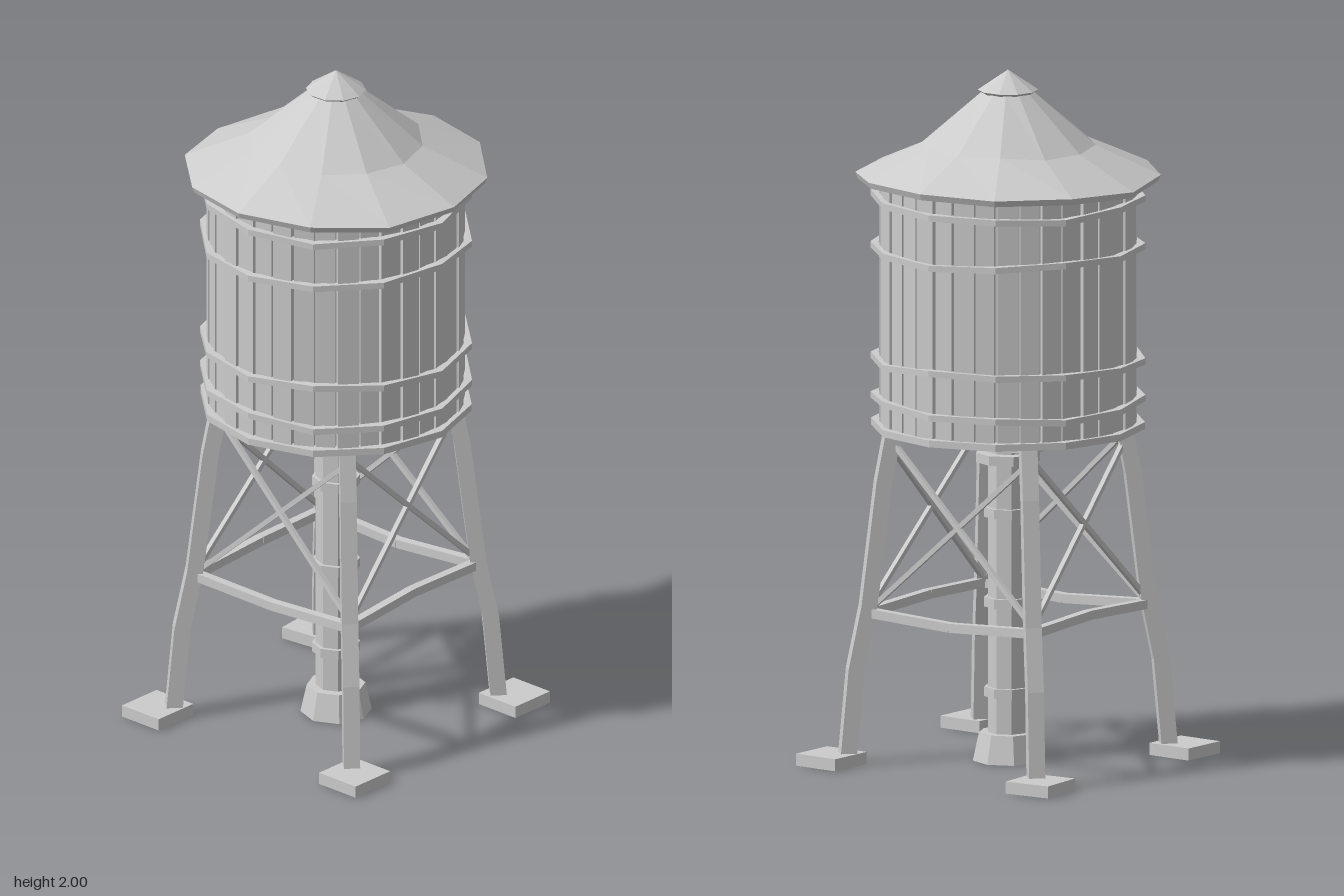
import * as THREE from 'three';

export function createModel() {
  const model = new THREE.Group();
  const grey = new THREE.MeshStandardMaterial({ color: 0xcccccc, flatShading: true });

  function add(name, geometry, parent = model) {
    const mesh = new THREE.Mesh(geometry, grey);
    mesh.name = name;
    parent.add(mesh);
    return mesh;
  }
  function group(name) {
    const g = new THREE.Group();
    g.name = name;
    model.add(g);
    return g;
  }
  const V = (x, y, z) => new THREE.Vector3(x, y, z);
  const profile = (pts) => pts.map(([r, y]) => new THREE.Vector2(r, y));

  // Square bar between two points
  function bar(name, a, b, size, parent) {
    const m = add(name, new THREE.BoxGeometry(size, size, a.distanceTo(b)), parent);
    m.position.copy(a).lerp(b, 0.5);
    m.lookAt(b);
    return m;
  }
  // Uneven, hand-made wobble that closes around the circle
  function wobble(geometry, amount, phase) {
    const p = geometry.attributes.position;
    for (let i = 0; i < p.count; i++) {
      const r = Math.hypot(p.getX(i), p.getZ(i));
      if (r < 0.15) continue;
      const a = Math.round((Math.atan2(p.getZ(i), p.getX(i)) / Math.PI) * 6) * Math.PI / 6;
      p.setY(i, p.getY(i) + amount * (Math.sin(2 * a + phase) + 0.6 * Math.sin(5 * a + phase * 2 + r * 9)) / 1.6);
    }
    return geometry;
  }
  function cylinder(name, r0, r1, y0, y1, sides, parent) {
    const m = add(name, new THREE.CylinderGeometry(r1, r0, y1 - y0, sides), parent);
    m.position.y = (y0 + y1) / 2;
    return m;
  }

  // Roof with a thin eave, and its cap
  add('roof', wobble(new THREE.LatheGeometry(profile([
    [0, 1.69], [0.36, 1.685], [0.43, 1.682], [0.437, 1.7], [0.25, 1.785], [0.075, 1.935], [0, 1.95],
  ]), 12), 0.009, 1.2));
  add('roofCap', new THREE.LatheGeometry(profile([
    [0, 1.93], [0.07, 1.93], [0.086, 1.942], [0.07, 1.953], [0, 2],
  ]), 10));

  // Tank: core, separate staves, hoops and floor
  const tank = group('tank');
  cylinder('tankCore', 0.352, 0.352, 0.975, 1.7, 36, tank);
  const staves = 36;
  for (let i = 0; i < staves; i++) {
    const a = ((i + 0.5) / staves) * Math.PI * 2;
    const width = 0.057 + 0.004 * Math.sin(i * 2.7);
    const r = 0.353 + 0.003 * Math.sin(i * 4.1);
    const stave = add('stave', new THREE.BoxGeometry(width, 0.72, 0.026), tank);
    stave.position.set(Math.sin(a) * r, 1.338, Math.cos(a) * r);
    stave.rotation.y = a + 0.04 * Math.sin(i * 3.3);
  }
  [1.05, 1.17, 1.49, 1.63].forEach((y, i) => {
    const hoop = new THREE.LatheGeometry(profile([
      [0.37, y - 0.009], [0.393, y - 0.009], [0.393, y + 0.009], [0.37, y + 0.009], [0.37, y - 0.009],
    ]), 12);
    add('hoop', wobble(hoop, 0.01, i * 1.9 + 0.5), tank);
  });
  cylinder('tankFloor', 0.392, 0.392, 0.965, 0.985, 12, tank);

  // Four bent legs on slightly turned footings
  const legPath = [[0.328, 0.03], [0.312, 0.28], [0.286, 0.46], [0.255, 0.82], [0.235, 0.97]];
  const corners = [[1, 1], [1, -1], [-1, -1], [-1, 1]];
  const legs = group('legs');
  corners.forEach(([sx, sz], i) => {
    const geo = new THREE.CylinderGeometry(0.033, 0.033, 1, 4, legPath.length - 1);
    const p = geo.attributes.position;
    for (let k = 0; k < p.count; k++) {
      const [d, y] = legPath[Math.round((p.getY(k) + 0.5) * (legPath.length - 1))];
      p.setXYZ(k, p.getX(k) + sx * d, y, p.getZ(k) + sz * d);
    }
    add('leg', geo, legs);
    const foot = add('footing', new THREE.BoxGeometry(0.145, 0.035, 0.142), legs);
    foot.position.set(sx * 0.357, 0.0175, sz * 0.364);
    foot.rotation.y = 0.055 * (i % 2 ? 1 : -1) * (i === 3 ? -1 : 1);
  });

  // Girders, sagging ties and crossed rods between neighbouring legs
  const bracing = group('bracing');
  corners.forEach(([sx, sz], i) => {
    const [tx, tz] = corners[(i + 1) % 4];
    const at = (x, z, d, y) => V(x * d, y, z * d);
    bar('girder', at(sx, sz, 0.235, 0.958), at(tx, tz, 0.235, 0.958), 0.022, bracing);
    const mid = V((sx + tx) * 0.14, i % 2 ? 0.45 : 0.425, (sz + tz) * 0.14);
    bar('tie', at(sx, sz, 0.286, 0.44), mid, 0.026, bracing);
    bar('tie', mid, at(tx, tz, 0.286, 0.44), 0.026, bracing);
    bar('crossRod', at(sx, sz, 0.24, 0.94), at(tx, tz, 0.28, 0.46), 0.014, bracing);
    bar('crossRod', at(tx, tz, 0.24, 0.92), at(sx, sz, 0.28, 0.45), 0.014, bracing);
  });

  // Central pipe with collars, flange and base
  const pipe = group('pipe');
  cylinder('riser', 0.058, 0.058, 0.05, 0.97, 8, pipe);
  for (const y of [0.2, 0.46, 0.72]) cylinder('collar', 0.069, 0.069, y - 0.014, y + 0.014, 8, pipe);
  cylinder('flange', 0.093, 0.093, 0.865, 0.893, 8, pipe);
  cylinder('pipeBase', 0.102, 0.084, 0, 0.082, 8, pipe);

  return model;
}
